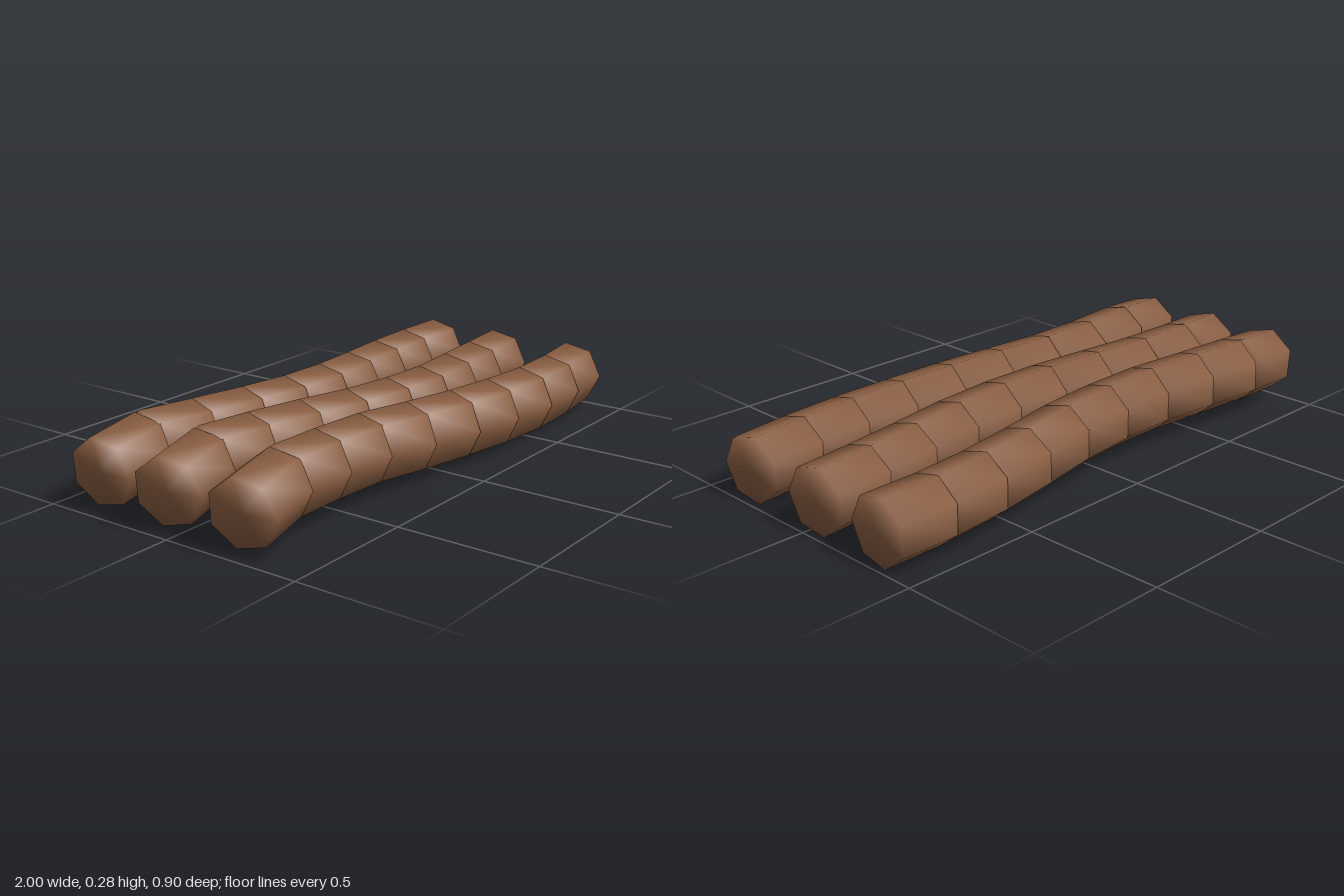
import * as THREE from 'three';
import { mergeVertices } from 'three/addons/utils/BufferGeometryUtils.js';

// Joint positions of each log: x, depth z, and the height they all share
const heights = [0.144, 0.165, 0.158, 0.152, 0.143, 0.135, 0.127, 0.122, 0.119, 0.118];
const joints = [-0.975, -0.757, -0.543, -0.323, -0.11, 0.11, 0.328, 0.546, 0.762, 0.98];
const logs = {
  backLog: [-0.295, -0.32, -0.29, -0.26, -0.25, -0.262, -0.295, -0.326, -0.342, -0.342],
  middleLog: [-0.01, -0.059, -0.043, -0.01, 0.025, 0.04, 0.033, 0.003, -0.025, -0.05],
  frontLog: [0.285, 0.245, 0.235, 0.24, 0.275, 0.305, 0.322, 0.329, 0.315, 0.285],
};

// Seven-sided piece along x, with normals shared by sides and caps
function pieceGeometry(length) {
  const g = new THREE.CylinderGeometry(0.12, 0.12, length, 7, 1);
  g.deleteAttribute('uv');
  g.deleteAttribute('normal');
  g.rotateZ(-Math.PI / 2);
  const merged = mergeVertices(g, 1e-4);
  merged.computeVertexNormals();
  return merged;
}

export function createModel() {
  const model = new THREE.Group();
  model.name = 'logs';
  const bark = new THREE.MeshStandardMaterial({ color: 0x8b5f43 });
  bark.name = 'bark brown';

  for (const [name, depths] of Object.entries(logs)) {
    const log = new THREE.Group();
    log.name = name;
    const points = joints.map((x, i) => new THREE.Vector3(x, heights[i], depths[i]));

    // One straight piece between each pair of joints
    for (let i = 0; i < points.length - 1; i++) {
      const d = points[i + 1].clone().sub(points[i]);
      const length = d.length();
      const piece = new THREE.Mesh(pieceGeometry(length), bark);
      piece.name = 'logPiece' + (i + 1);
      piece.position.copy(points[i]).addScaledVector(d, 0.5);
      piece.rotation.set(0, -Math.atan2(d.z, d.x), Math.asin(d.y / length), 'YZX');
      log.add(piece);
    }
    model.add(log);
  }
  return model;
}
